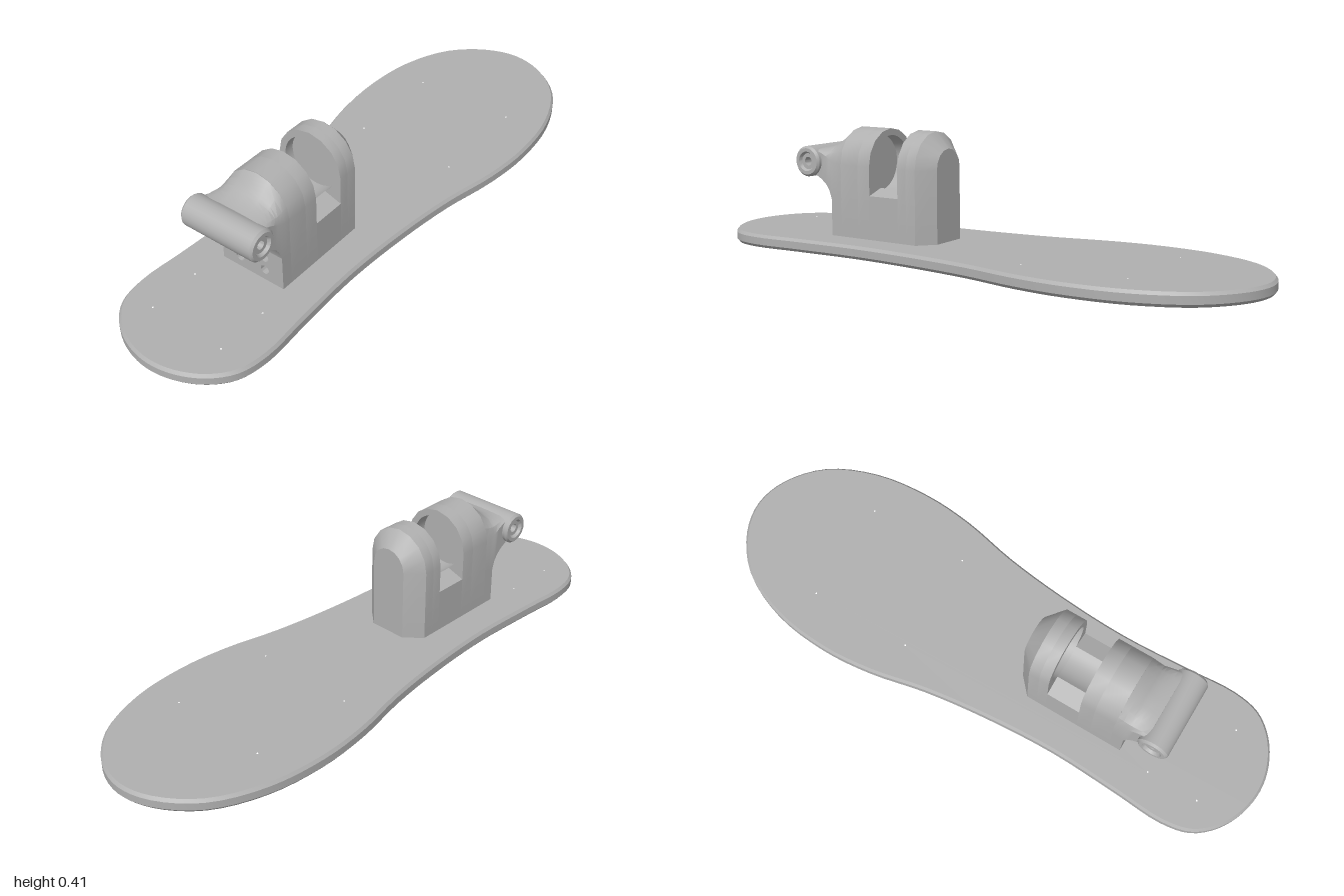
import * as THREE from 'three';
import { toCreasedNormals } from 'three/addons/utils/BufferGeometryUtils.js';

const BASE = 0.045;      // top of the sole plate
const HALF = 0.122;      // half width of the mount
const SPRING = 0.293;    // height where the arched top begins
const BORE = 0.098;      // radius of the bore between the two cheeks

// Cross-section seen along x: upright sides with an arched top
function archSection(w, bottom, spring, top) {
  const pts = [[w, bottom]];
  for (let i = 0; i <= 8; i++) {
    const a = (i / 8) * Math.PI;
    pts.push([w * Math.cos(a), spring + (top - spring) * Math.sin(a)]);
  }
  pts.push([-w, bottom]);
  return pts;
}

// Closed skin through arch sections [x, halfWidth, bottom, spring, top], x rising
function loft(sections) {
  const pos = [], idx = [];
  const rings = sections.map(([x, ...s]) => archSection(...s).map(([z, y]) => [x, y, z]));
  const n = rings[0].length;
  rings.forEach(r => r.forEach(p => pos.push(...p)));
  for (let i = 0; i < rings.length - 1; i++) {
    for (let j = 0; j < n; j++) {
      const a = i * n + j, b = i * n + (j + 1) % n;
      idx.push(a, a + n, b + n, a, b + n, b);
    }
  }
  const last = (rings.length - 1) * n;
  for (let k = 1; k < n - 1; k++) {
    idx.push(0, k, k + 1, last, last + k + 1, last + k);
  }
  const g = new THREE.BufferGeometry();
  g.setAttribute('position', new THREE.Float32BufferAttribute(pos, 3));
  g.setIndex(idx);
  return toCreasedNormals(g, 0.5);
}

// Shape in the z-y plane extruded along x
function extrudeX(shape, x0, x1) {
  const g = new THREE.ExtrudeGeometry(shape, { depth: x1 - x0, bevelEnabled: false, curveSegments: 24 });
  g.rotateY(Math.PI / 2).translate(x0, 0, 0);
  return toCreasedNormals(g, 0.5);
}

const toShape = pts => new THREE.Shape(pts.map(([x, y]) => new THREE.Vector2(x, y)));

function addHole(shape, x, y, r) {
  shape.holes.push(new THREE.Path().absarc(x, y, r, 0, Math.PI * 2, true));
}

export function createModel() {
  const model = new THREE.Group();
  const grey = new THREE.MeshStandardMaterial({ color: 0xb0b0b0 });
  grey.name = 'plain grey';
  const add = (name, geometry) => {
    const mesh = new THREE.Mesh(geometry, grey);
    mesh.name = name;
    model.add(mesh);
    return mesh;
  };

  // Sole plate: mirrored outline with chamfered rim and screw holes
  const edge = [
    [-1, 0], [-0.985, 0.09], [-0.94, 0.175], [-0.87, 0.235], [-0.77, 0.257], [-0.6, 0.248],
    [-0.35, 0.238], [-0.1, 0.252], [0.12, 0.28], [0.32, 0.322], [0.5, 0.336], [0.7, 0.312],
    [0.87, 0.235], [0.97, 0.115], [1, 0],
  ];
  const loop = [...edge, ...edge.slice(1, -1).reverse().map(([x, z]) => [x, -z])];
  const outline = new THREE.CatmullRomCurve3(loop.map(([x, z]) => new THREE.Vector3(x, z, 0)), true);
  const sole = toShape(outline.getPoints(112).slice(0, -1).map(p => [p.x, p.y]));
  const screwHoles = [[0.262, 0.183], [0.627, 0.183], [-0.837, 0.138], [-0.655, 0.138], [-0.256, 0.084], [-0.476, 0.084]];
  for (const [x, z] of screwHoles) {
    for (const side of [1, -1]) addHole(sole, x, z * side, 0.011);
  }
  const plate = new THREE.ExtrudeGeometry(sole, {
    depth: 0.025, bevelThickness: 0.01, bevelSize: 0.008, bevelOffset: -0.008, bevelSegments: 1, curveSegments: 10,
  });
  plate.rotateX(-Math.PI / 2).translate(0, 0.01, 0);
  add('solePlate', toCreasedNormals(plate, 0.5));

  // Cheeks on both sides of the slot, each with a round blind recess
  const cheek = toShape(archSection(HALF, BASE, SPRING, 0.415));
  addHole(cheek, 0, SPRING, BORE);
  add('rearCheek', extrudeX(cheek, -0.425, -0.375));
  add('foreCheek', extrudeX(cheek, -0.257, -0.222));

  // Slot floor: sloping shoulders and a rounded trough along the bore
  const floor = [[-HALF, BASE], [HALF, BASE], [HALF, 0.195]];
  const spread = Math.asin(0.06 / BORE);
  for (let i = 0; i <= 10; i++) {
    const a = spread * (1 - i / 5);
    floor.push([BORE * Math.sin(a), SPRING - BORE * Math.cos(a)]);
  }
  floor.push([-HALF, 0.195]);
  add('slotFloor', extrudeX(toShape(floor), -0.375, -0.257));

  // Fore end of the mount, tapering to a smaller arch
  add('foreBlock', loft([
    [-0.222, HALF, BASE, SPRING, 0.415],
    [-0.185, HALF, BASE, SPRING, 0.415],
    [-0.135, 0.066, BASE, SPRING, 0.36],
  ]));

  // Rear block and the arm that flattens towards the pivot
  add('rearBlock', loft([
    [-0.5, HALF, BASE, SPRING, 0.415],
    [-0.425, HALF, BASE, SPRING, 0.415],
  ]));
  add('pivotArm', loft([
    [-0.607, HALF, 0.25, 0.335, 0.344],
    [-0.585, HALF, 0.238, 0.328, 0.348],
    [-0.565, HALF, 0.222, 0.318, 0.357],
    [-0.55, HALF, 0.2, 0.308, 0.365],
    [-0.54, HALF, 0.17, 0.302, 0.374],
    [-0.52, HALF, 0.17, 0.296, 0.394],
    [-0.498, HALF, 0.17, SPRING, 0.415],
  ]));

  // Heel-side face with four screw holes
  const panel = toShape([[-HALF, BASE], [HALF, BASE], [HALF, 0.172], [-HALF, 0.172]]);
  for (const z of [-0.05, 0.05]) {
    for (const y of [0.085, 0.135]) addHole(panel, z, y, 0.016);
  }
  add('heelPanel', extrudeX(panel, -0.54, -0.498));

  // Hollow pivot barrel with countersunk, chamfered ends
  const half = [[0.053, 0.132], [0.046, 0.14], [0.034, 0.14], [0.028, 0.13], [0.015, 0.13]];
  const mirrored = half.map(([r, y]) => [r, -y]).reverse();
  const profile = [...mirrored, ...half, mirrored[0]].map(([r, y]) => new THREE.Vector2(r, y));
  const barrel = new THREE.LatheGeometry(profile, 28);
  barrel.rotateX(Math.PI / 2).translate(-0.636, 0.297, 0);
  add('pivotBarrel', toCreasedNormals(barrel, 0.5));

  return model;
}
